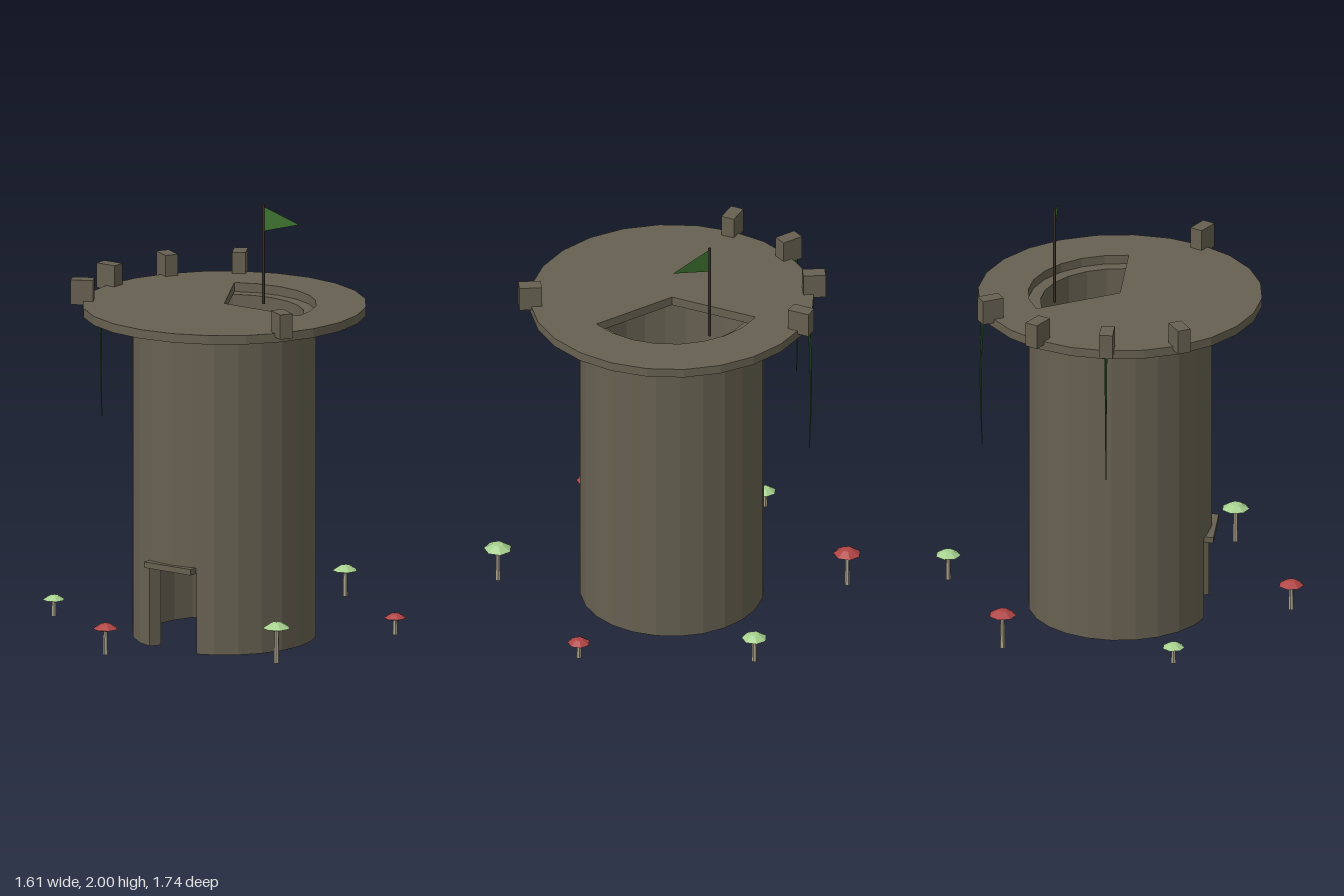
import * as THREE from 'three';

const material = (name, color, side = THREE.FrontSide) => {
  const m = new THREE.MeshStandardMaterial({ color, side });
  m.name = name;
  return m;
};

// Faceted normals for the low-poly look
function flat(geometry) {
  const g = geometry.index ? geometry.toNonIndexed() : geometry;
  g.computeVertexNormals();
  return g;
}

function addMesh(parent, name, geometry, mat, x = 0, y = 0, z = 0) {
  const mesh = new THREE.Mesh(flat(geometry), mat);
  mesh.name = name;
  mesh.position.set(x, y, z);
  parent.add(mesh);
  return mesh;
}

// Points on a circle, every 15 degrees
function arc(radius, from, to) {
  const points = [];
  const step = from < to ? 15 : -15;
  for (let a = from; step > 0 ? a <= to : a >= to; a += step) {
    const t = THREE.MathUtils.degToRad(a);
    points.push(new THREE.Vector2(radius * Math.cos(t), radius * Math.sin(t)));
  }
  return points;
}

// Floor plan (plan y points to the back) raised from y0 to y1
function raise(points, hole, y0, y1) {
  const shape = new THREE.Shape(points);
  if (hole) shape.holes.push(new THREE.Path(hole));
  const g = new THREE.ExtrudeGeometry(shape, { depth: y1 - y0, bevelEnabled: false });
  return g.rotateX(-Math.PI / 2).translate(0, y0, 0);
}

export function createModel() {
  const root = new THREE.Group();
  root.name = 'ruinedTower';

  const stone = material('mossy stone', 0x666050);
  const wood = material('dark pole', 0x4a4038);
  const cloth = material('green cloth', 0x3d7030, THREE.DoubleSide);
  const vine = material('dark vine', 0x28522a);
  const red = material('red cap', 0xb04444);
  const green = material('pale green cap', 0xa6d08e);
  const stemColor = material('pale stem', 0xa8a08c);

  const R = 0.43, r = 0.372, doorTop = 0.388, wallTop = 1.542, deckTop = 1.585;
  const v = (x, y) => new THREE.Vector2(x, y);

  // Wall: open at the door below, closed ring above
  const lowerPlan = [
    v(0.135, -0.405), ...arc(R, -60, 240), v(-0.135, -0.405),
    v(-0.108, -0.352), ...arc(r, 240, -60), v(0.108, -0.352),
  ];
  addMesh(root, 'lowerWall', raise(lowerPlan, null, 0, doorTop), stone);
  addMesh(root, 'upperWall', raise(arc(R, 0, 345), arc(r, 345, 0), doorTop, wallTop), stone);
  addMesh(root, 'doorLintel', new THREE.BoxGeometry(0.27, 0.028, 0.055), stone, 0, 0.399, 0.423);

  // Deck with a broken-out sector
  const gap = [v(0, 0), ...arc(R, 0, 120)].reverse();
  addMesh(root, 'deck', raise(arc(0.665, 0, 345), gap, wallTop, deckTop), stone);

  // Remaining battlements, angles counted from +x toward the back
  for (const degrees of [120, 150, 180, 210, 330]) {
    const a = THREE.MathUtils.degToRad(degrees);
    const block = addMesh(root, 'battlement', new THREE.BoxGeometry(0.105, 0.118, 0.064), stone,
      0.665 * Math.cos(a), 1.627, -0.665 * Math.sin(a));
    block.rotation.y = a;
  }

  // Hanging vines, tapering and slightly bowed outward
  for (const degrees of [120, 180]) {
    const a = THREE.MathUtils.degToRad(degrees);
    const g = new THREE.CylinderGeometry(0.007, 0.002, 0.63, 5, 6);
    const p = g.attributes.position;
    for (let i = 0; i < p.count; i++) {
      const t = p.getY(i) / 0.63 + 0.5;
      p.setX(i, p.getX(i) + 0.008 * Math.sin(t * Math.PI));
    }
    const mesh = addMesh(root, 'vine', g, vine, 0.708 * Math.cos(a), 1.26, -0.708 * Math.sin(a));
    mesh.rotation.y = a;
  }

  // Flag
  const flag = new THREE.Group();
  flag.name = 'flag';
  flag.position.z = -0.307;
  root.add(flag);
  addMesh(flag, 'flagPole', new THREE.CylinderGeometry(0.007, 0.007, 0.475, 6), wood, 0, 1.7625, 0);
  const pennant = new THREE.Shape([v(0, 1.873), v(0.208, 1.932), v(0, 1.992)]);
  addMesh(flag, 'pennant', new THREE.ShapeGeometry(pennant), cloth);

  // Mushrooms: x, z, cap radius, cap base height, colour
  const mushrooms = [
    [0.1, -0.815, 0.06, 0.155, green],
    [-0.655, -0.49, 0.065, 0.198, red],
    [0.753, -0.32, 0.053, 0.112, red],
    [-0.752, 0.32, 0.053, 0.112, green],
    [0.655, 0.48, 0.066, 0.198, green],
    [-0.093, 0.81, 0.06, 0.155, red],
  ];
  mushrooms.forEach(([x, z, radius, base, color], i) => {
    const mushroom = new THREE.Group();
    mushroom.name = 'mushroom';
    mushroom.position.set(x, 0, z);
    mushroom.rotation.y = i * 0.9;
    root.add(mushroom);
    const profile = [v(0, 0), v(0.4, 0.03), v(1, 0.2), v(0.4, 0.58), v(0, 0.62)]
      .map((q) => q.multiplyScalar(radius));
    addMesh(mushroom, 'cap', new THREE.LatheGeometry(profile, 7), color, 0, base, 0);
    const bottom = 0.043, height = base + 0.008 - bottom;
    addMesh(mushroom, 'stem', new THREE.CylinderGeometry(0.01, 0.013, height, 6), stemColor,
      0, bottom + height / 2, 0);
  });

  return root;
}
